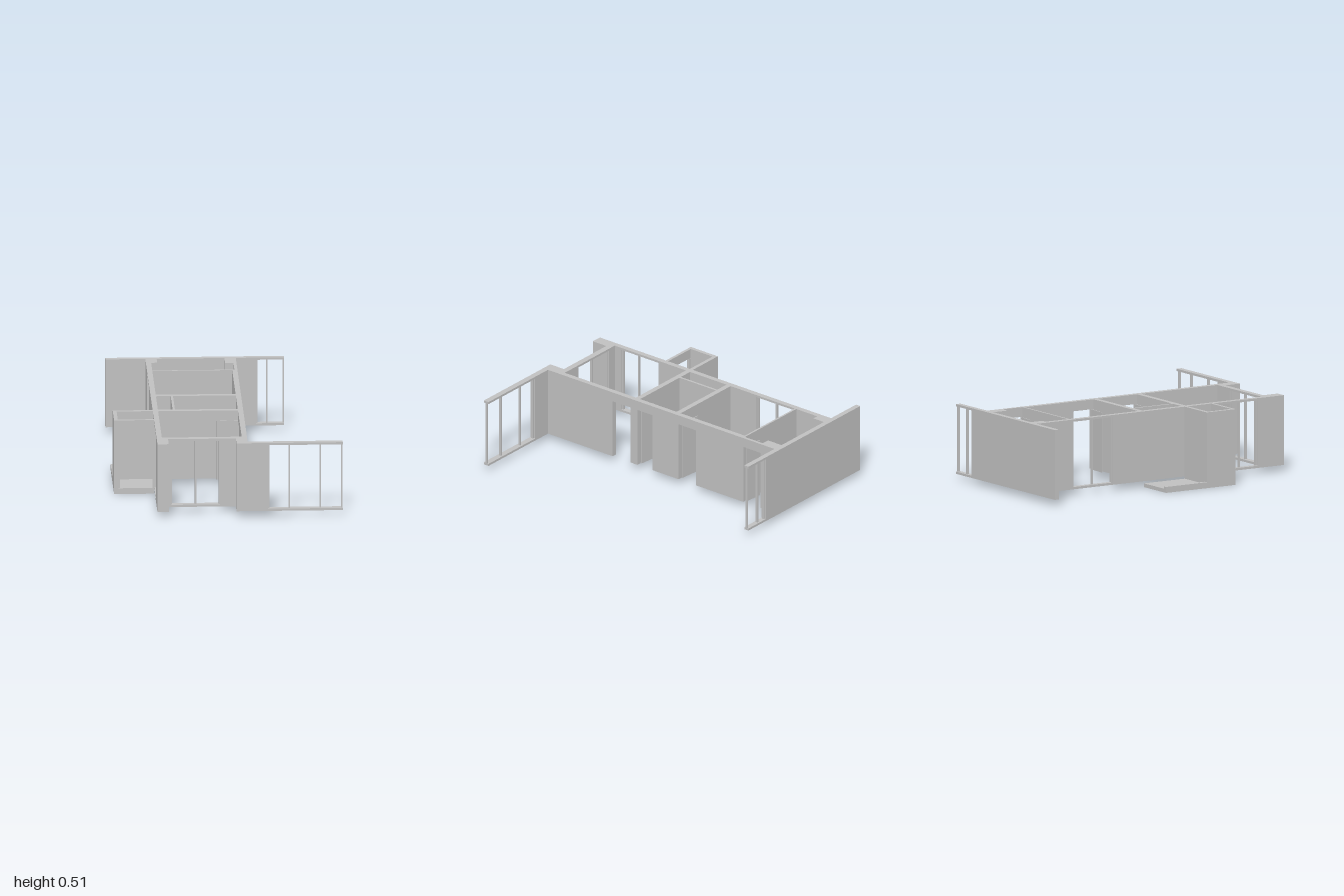
import * as THREE from 'three';

const BASE = 0.04, TOP = 0.51, DOOR_TOP = 0.445, SILL = 0.055, HEAD = 0.495;

export function createModel() {
  const model = new THREE.Group();
  model.name = 'floorPlan';
  const plaster = new THREE.MeshStandardMaterial({ color: 0xc0c0c0 });
  plaster.name = 'plaster grey';

  // Box given by its limits on each axis
  function block(parent, name, x0, x1, y0, y1, z0, z1) {
    const mesh = new THREE.Mesh(new THREE.BoxGeometry(x1 - x0, y1 - y0, z1 - z0), plaster);
    mesh.position.set((x0 + x1) / 2, (y0 + y1) / 2, (z0 + z1) / 2);
    mesh.name = name;
    parent.add(mesh);
    return mesh;
  }

  // Wall along x or z, from a to b, with thickness c0..c1.
  // Openings are in order; one with posts is a window, otherwise a doorway.
  function wall(name, axis, a, b, c0, c1, openings = []) {
    const group = new THREE.Group();
    group.name = name;
    const piece = (part, u0, u1, y0, y1, t0 = c0, t1 = c1) => axis === 'x'
      ? block(group, part, u0, u1, y0, y1, t0, t1)
      : block(group, part, t0, t1, y0, y1, u0, u1);
    const mid = (c0 + c1) / 2;
    let u = a;
    for (const o of openings) {
      if (o.from > u) piece('wallPanel', u, o.from, BASE, TOP);
      if (o.posts) {
        piece('windowSill', o.from, o.to, BASE, SILL);
        piece('windowHead', o.from, o.to, HEAD, TOP);
        for (const p of o.posts) {
          piece('windowPost', p - 0.005, p + 0.005, SILL, HEAD, mid - 0.008, mid + 0.008);
        }
      } else {
        piece('doorLintel', o.from, o.to, DOOR_TOP, TOP);
      }
      u = o.to;
    }
    if (u < b) piece('wallPanel', u, b, BASE, TOP);
    model.add(group);
  }

  // Long outer walls
  wall('rightLongWall', 'z', -0.965, 1, -0.485, -0.45, [
    { from: -0.68, to: -0.36, posts: [-0.675, -0.52, -0.365] },
    { from: 0.47, to: 0.79, posts: [0.475, 0.65, 0.785] },
  ]);
  wall('leftLongWall', 'z', -0.695, 0.96, 0.08, 0.115, [
    { from: -0.3, to: -0.15 },
    { from: 0.07, to: 0.2 },
    { from: 0.26, to: 0.41 },
  ]);
  wall('leftBackWall', 'z', -0.965, -0.695, 0.095, 0.115, [{ from: -0.845, to: -0.7 }]);

  // End walls with the glazed wings
  wall('backWall', 'x', -0.75, 0.435, -1, -0.965, [
    { from: 0.25, to: 0.435, posts: [0.255, 0.322, 0.43] },
  ]);
  wall('frontWing', 'x', 0.115, 0.745, 0.96, 1, [
    { from: 0.25, to: 0.745, posts: [0.255, 0.39, 0.595, 0.74] },
  ]);

  // Corner piers
  block(model, 'frontRightPier', -0.45, -0.41, BASE, TOP, 0.885, 1);
  block(model, 'backRightPier', -0.45, -0.41, BASE, TOP, -0.965, -0.875);
  block(model, 'frontLeftPier', 0.04, 0.08, BASE, TOP, 0.885, 1);
  block(model, 'frontLeftCorner', 0.08, 0.115, BASE, TOP, 0.96, 1);
  block(model, 'backLeftPier', 0.04, 0.095, BASE, TOP, -0.965, -0.85);

  // Cross walls
  wall('frontFacade', 'x', -0.45, 0.08, 0.845, 0.885, [
    { from: -0.39, to: -0.065, posts: [-0.387, -0.227, -0.068] },
  ]);
  wall('frontPartition', 'x', -0.45, 0.08, 0.205, 0.24);
  wall('middlePartition', 'x', -0.45, 0.08, -0.14, -0.105);
  wall('backPartition', 'x', -0.45, 0.095, -0.698, -0.685);
  wall('closetPartition', 'z', -0.105, 0.205, -0.352, -0.337);

  // Open door leaves: hinge x, hinge z, free x, free z
  const leaves = [
    [0.08, 0.252, -0.065, 0.264],
    [0.08, 0.193, -0.035, 0.182],
    [0.08, -0.155, -0.065, -0.168],
    [0.095, -0.71, -0.035, -0.72],
  ];
  for (const [x0, z0, x1, z1] of leaves) {
    const leaf = new THREE.Mesh(
      new THREE.BoxGeometry(Math.hypot(x1 - x0, z1 - z0), DOOR_TOP - BASE, 0.005), plaster);
    leaf.position.set((x0 + x1) / 2, (BASE + DOOR_TOP) / 2, (z0 + z1) / 2);
    leaf.rotation.y = -Math.atan2(z0 - z1, x0 - x1);
    leaf.name = 'doorLeaf';
    model.add(leaf);
  }

  // Side balcony slab with a low rim
  block(model, 'balconySlab', -0.75, -0.485, 0, 0.025, -0.115, 0.44);
  block(model, 'balconyRim', -0.75, -0.725, 0.025, BASE, -0.115, 0.44);
  block(model, 'storeFloor', -0.725, -0.485, 0.025, BASE, 0.21, 0.44);

  // Store room on the balcony
  wall('storeSideWall', 'z', 0.21, 0.44, -0.75, -0.725);
  wall('storeBackWall', 'x', -0.725, -0.485, 0.21, 0.235);
  wall('storeFrontWall', 'x', -0.725, -0.485, 0.42, 0.44, [{ from: -0.72, to: -0.485 }]);
  for (const x of [-0.72, -0.495]) {
    block(model, 'storeDoorJamb', x, x + 0.01, BASE, DOOR_TOP, 0.418, 0.438);
  }
  return model;
}
